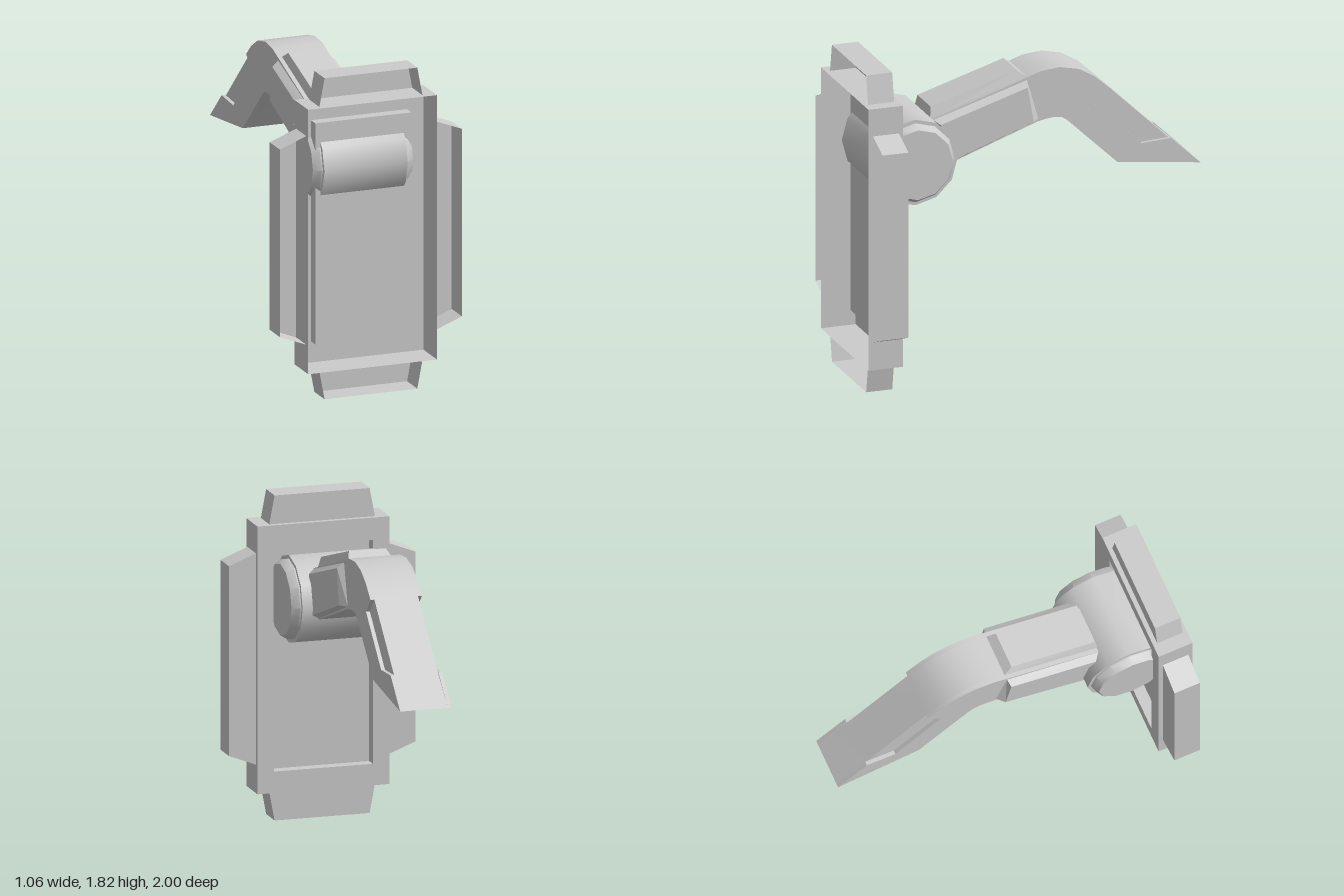
import * as THREE from 'three';
import { toCreasedNormals } from 'three/addons/utils/BufferGeometryUtils.js';

const material = new THREE.MeshStandardMaterial({ color: 0xcccccc, side: THREE.DoubleSide });
const OFFSET = -0.008; // the hub and lever sit slightly off centre

// Walls between successive rings of corners, closed by a cap on the last ring.
// Rings run counter-clockwise as seen from the cap.
function loft(name, rings) {
  const pos = [];
  const tri = (a, b, c) => pos.push(...a, ...b, ...c);
  for (let k = 0; k < rings.length - 1; k++) {
    const a = rings[k], b = rings[k + 1];
    a.forEach((p, i) => {
      const j = (i + 1) % a.length;
      tri(p, a[j], b[j]);
      tri(p, b[j], b[i]);
    });
  }
  const cap = rings[rings.length - 1];
  for (let i = 1; i < cap.length - 1; i++) tri(cap[0], cap[i], cap[i + 1]);
  const geo = new THREE.BufferGeometry();
  geo.setAttribute('position', new THREE.Float32BufferAttribute(pos, 3));
  geo.computeVertexNormals();
  return mesh(name, geo);
}

function mesh(name, geo) {
  const m = new THREE.Mesh(geo, material);
  m.name = name;
  return m;
}

// Hollow block, open at the front and closed at the back
function shell(name, outline) {
  const ring = z => outline.map(([x, y]) => [x, y, z]);
  return loft(name, [ring(0.975), ring(0.825)]);
}

// Slab of the lever: side profile in (backward, up), spanning x0 to x1
function slab(name, profile, x0, x1) {
  const shape = new THREE.Shape(profile.map(p => new THREE.Vector2(...p)));
  const geo = new THREE.ExtrudeGeometry(shape, { depth: x1 - x0, bevelEnabled: false });
  geo.rotateY(Math.PI / 2).translate(x0, 0, 0);
  return mesh(name, toCreasedNormals(geo, 0.6));
}

function createPlate() {
  const g = new THREE.Group();
  g.name = 'wallPlate';

  // Hollow plate with a recessed panel on its back side
  const rect = (x, y0, y1, z) => [[-x, y0, z], [-x, y1, z], [x, y1, z], [x, y0, z]];
  g.add(loft('plate', [
    rect(0.375, 0.16, 1.655, 1), rect(0.375, 0.16, 1.655, 0.8),
    rect(0.28, 0.28, 1.53, 0.8), rect(0.28, 0.28, 1.53, 0.865),
  ]));

  // Side wings
  const wing = [[0.376, 0.32], [0.376, 1.5], [0.53, 1.44], [0.53, 0.38]];
  g.add(shell('leftWing', wing));
  g.add(shell('rightWing', wing.map(([x, y]) => [-x, y]).reverse()));

  // Top and bottom blocks
  const block = [[-0.3, 1.656], [-0.27, 1.815], [0.27, 1.815], [0.3, 1.656]];
  g.add(shell('topBlock', block));
  g.add(shell('bottomBlock', block.map(([x, y]) => [x, 1.815 - y]).reverse()));
  return g;
}

function createHub() {
  // Twelve-sided drum with a stepped, chamfered cap at each end
  const end = [[0.2, 0.292], [0.225, 0.25], [0.225, 0.243], [0.245, 0.243]];
  const profile = [
    [0, -0.292], ...end.map(([r, h]) => [r, -h]), ...end.slice().reverse(), [0, 0.292],
  ].map(p => new THREE.Vector2(...p));
  const geo = new THREE.LatheGeometry(profile, 12).rotateZ(Math.PI / 2);
  const hub = mesh('hub', toCreasedNormals(geo, 0.6));
  hub.position.set(OFFSET, 1.27, 0.68);
  return hub;
}

function createLever() {
  const g = new THREE.Group();
  g.name = 'lever';
  g.position.x = OFFSET;

  // Bent arm: a core with thin cheeks that leave a notch beside the tip
  const under = [
    [1, 1.04], [0.52, 1.1], [0.23, 1.375], [0.2, 1.395], [0.16, 1.4],
    [0.11, 1.395], [0.06, 1.385], [-0.46, 1.2], [-0.52, 1.2], [-0.57, 1.45],
  ];
  const over = [
    [-0.55, 1.465], [0, 1.645], [0.08, 1.672], [0.19, 1.682],
    [0.3, 1.658], [0.39, 1.605], [0.47, 1.535],
  ];
  const core = [...over, [0.815, 1.205], ...under];
  const cheek = [...over, [0.39, 1.45], [0.66, 1.19], [0.83, 1.2], ...under];
  g.add(slab('armCore', core, -0.124, 0.124));
  g.add(slab('leftCheek', cheek, 0.124, 0.146));
  g.add(slab('rightCheek', cheek, -0.146, -0.124));

  // Bevelled pads on both sides, corners in (backward, up)
  const base = [[-0.46, 1.205], [0.065, 1.4], [0, 1.63], [-0.54, 1.465]];
  const face = [[-0.45, 1.23], [0.025, 1.4], [-0.01, 1.6], [-0.51, 1.445]];
  const ring = (pts, x) => pts.map(([u, y]) => [x, y, -u]);
  g.add(loft('leftPad', [ring(base, 0.146), ring(face, 0.184)]));
  g.add(loft('rightPad', [ring(base, -0.146).reverse(), ring(face, -0.184).reverse()]));

  // Raised pad along the top of the arm
  const quad = (x, [u0, y0], [u1, y1]) => [[-x, y0, -u0], [x, y0, -u0], [x, y1, -u1], [-x, y1, -u1]];
  g.add(loft('topPad', [
    quad(0.122, [-0.55, 1.46], [0.005, 1.645]),
    quad(0.105, [-0.54, 1.528], [-0.045, 1.68]),
  ]));
  return g;
}

export function createModel() {
  const model = new THREE.Group();
  model.name = 'wallLever';
  model.add(createPlate(), createHub(), createLever());
  return model;
}
